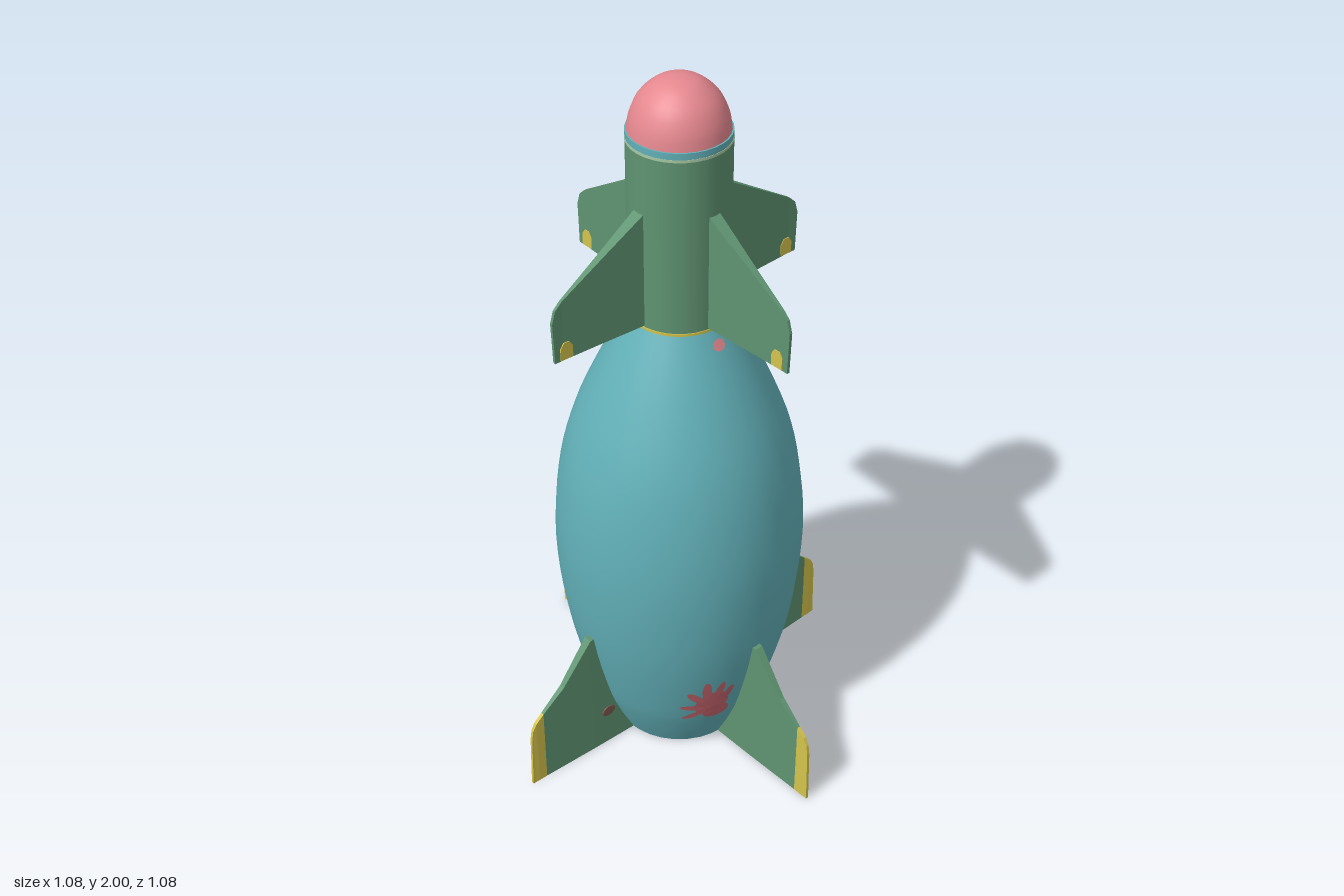
import * as THREE from 'three';

const mat = (name, color, side = THREE.FrontSide) =>
  new THREE.MeshStandardMaterial({ name, color, side });

// Body outline as radius, height
const bodyCurve = new THREE.SplineCurve([
  [0.19, 0], [0.232, 0.09], [0.271, 0.2], [0.318, 0.41], [0.338, 0.64],
  [0.325, 0.84], [0.285, 1.02], [0.21, 1.2], [0.128, 1.36],
].map(([r, y]) => new THREE.Vector2(r, y)));
const bodyProfile = bodyCurve.getPoints(32);

function bodyRadius(y) {
  const i = Math.max(1, bodyProfile.findIndex((p) => p.y >= y));
  const a = bodyProfile[i - 1], b = bodyProfile[i];
  return THREE.MathUtils.mapLinear(y, a.y, b.y, a.x, b.x);
}

// Tapered fin from rows of [x, bottom, top, half thickness, x at the bottom]
function finGeometry(rows) {
  const rings = rows.map(([x, yb, yt, h, xb = x]) =>
    [[xb, yb, h], [x, yt, h], [x, yt, -h], [xb, yb, -h]]);
  const pos = [];
  const quad = (a, b, c, d) => pos.push(...a, ...b, ...c, ...a, ...c, ...d);
  for (let i = 0; i < rings.length - 1; i++) {
    const A = rings[i], B = rings[i + 1];
    for (let k = 0; k < 4; k++) quad(A[k], B[k], B[(k + 1) % 4], A[(k + 1) % 4]);
  }
  const end = rings[rings.length - 1];
  quad(end[0], end[3], end[2], end[1]);
  const g = new THREE.BufferGeometry();
  g.setAttribute('position', new THREE.Float32BufferAttribute(pos, 3));
  g.computeVertexNormals();
  return g;
}

// Painted ellipse laid over the curved body, on the front (side 1) or back (side -1)
function bodyPatch(x, y, rx, ry, tilt, side) {
  const g = new THREE.CircleGeometry(1, 16);
  g.scale(rx, ry, 1).rotateZ(tilt).translate(x, y, 0);
  const p = g.attributes.position;
  for (let i = 0; i < p.count; i++) {
    const r = bodyRadius(p.getY(i)) + 0.004;
    p.setZ(i, side * Math.sqrt(r * r - p.getX(i) ** 2));
  }
  g.computeVertexNormals();
  return g;
}

export function createModel() {
  const teal = mat('teal', 0x62b0b8);
  const green = mat('green', 0x5f9472);
  const pink = mat('pink', 0xe5888f);
  const yellow = mat('yellow', 0xd4c34c);
  const pale = mat('pale green', 0xa9c9a4);
  const red = mat('print red', 0xc4656c, THREE.DoubleSide);
  const dot = mat('dot pink', 0xdf858d, THREE.DoubleSide);
  const brown = mat('stain brown', 0x7c5a50);

  const model = new THREE.Group();
  const add = (name, geometry, material, parent = model) => {
    const m = new THREE.Mesh(geometry, material);
    m.name = name;
    parent.add(m);
    return m;
  };
  const ring = (name, r, y0, y1, material) =>
    add(name, new THREE.CylinderGeometry(r, r, y1 - y0, 32).translate(0, (y0 + y1) / 2, 0), material);

  // Body and flat tail
  add('body', new THREE.LatheGeometry(bodyProfile, 32), teal);
  add('tailCap', new THREE.CircleGeometry(0.19, 32).rotateX(Math.PI / 2), teal);

  // Neck with its bands
  ring('neck', 0.13, 1.362, 1.843, green);
  ring('neckBaseRing', 0.132, 1.36, 1.367, yellow);
  ring('paleBand', 0.131, 1.843, 1.85, pale);
  ring('tealBand', 0.13, 1.85, 1.867, teal);

  // Rounded nose
  const nose = new THREE.SplineCurve([
    [0.126, 1.866], [0.119, 1.905], [0.098, 1.95], [0.06, 1.985], [0.025, 1.998], [0, 2],
  ].map(([r, y]) => new THREE.Vector2(r, y))).getPoints(16);
  nose[nose.length - 1].x = 0;
  add('nose', new THREE.LatheGeometry(nose, 32), pink);

  // Four upper and four lower fins
  const upperFin = finGeometry([
    [0.1, 1.37, 1.702, 0.019], [0.25, 1.37, 1.61, 0.01], [0.37, 1.37, 1.537, 0.004],
    [0.39, 1.37, 1.518, 0.004], [0.4, 1.37, 1.485, 0.004, 0.396],
  ]);
  const lowerFin = finGeometry([
    [0.12, 0, 0.42, 0.018], [0.33, 0, 0.42, 0.012], [0.425, 0, 0.3, 0.008], [0.495, 0, 0.243, 0.005],
  ]);
  const lowerTip = finGeometry([
    [0.495, 0, 0.243, 0.005], [0.52, 0, 0.222, 0.005],
    [0.532, 0, 0.2, 0.004, 0.534], [0.537, 0, 0.17, 0.004, 0.542],
  ]);
  const mark = new THREE.Shape([
    [0.343, 1.372], [0.38, 1.372], [0.38, 1.405], [0.37, 1.42], [0.353, 1.42], [0.343, 1.405],
  ].map(([x, y]) => new THREE.Vector2(x, y)));
  // Thin enough to show evenly on both faces of the fin
  const markGeometry = new THREE.ExtrudeGeometry(mark, { depth: 0.0098, bevelEnabled: false })
    .translate(0, 0, -0.0049);
  markGeometry.scale(1, 1, 1.35);

  for (let i = 0; i < 4; i++) {
    const fins = new THREE.Group();
    fins.name = 'finSet';
    fins.rotation.y = (i * Math.PI) / 2;
    model.add(fins);
    add('upperFin', upperFin, green, fins);
    add('upperFinMark', markGeometry, yellow, fins);
    add('lowerFin', lowerFin, green, fins);
    add('lowerFinTip', lowerTip, yellow, fins);
    // Small stains on two of the lower fins
    if (i === 1 || i === 2) {
      for (const s of [1, -1]) {
        const stain = new THREE.CylinderGeometry(1, 1, 0.004, 10).rotateX(Math.PI / 2).scale(0.022, 0.017, 1);
        add('finStain', stain.translate(0.277, 0.12, s * 0.0145), brown, fins);
      }
    }
  }

  // Hand-shaped print and small dot, on front and back
  const print = [ // x, y, half width, half height, tilt
    [-0.105, 0.225, 0.045, 0.055, 0],
    [-0.085, 0.18, 0.036, 0.03, 0],
    [-0.13, 0.29, 0.012, 0.042, 0.15],
    [-0.095, 0.285, 0.011, 0.036, -0.15],
    [-0.068, 0.26, 0.012, 0.033, -0.3],
    [-0.153, 0.262, 0.011, 0.035, 0.7],
    [-0.153, 0.215, 0.011, 0.03, 1.4],
    [-0.142, 0.178, 0.011, 0.03, 2.2],
  ];
  for (const side of [1, -1]) {
    const hand = new THREE.Group();
    hand.name = 'handPrint';
    model.add(hand);
    for (const e of print) add('printPatch', bodyPatch(...e, side), red, hand);
    add('bodyDot', bodyPatch(0, 1.324, 0.019, 0.014, 0, side), dot);
  }
  return model;
}
